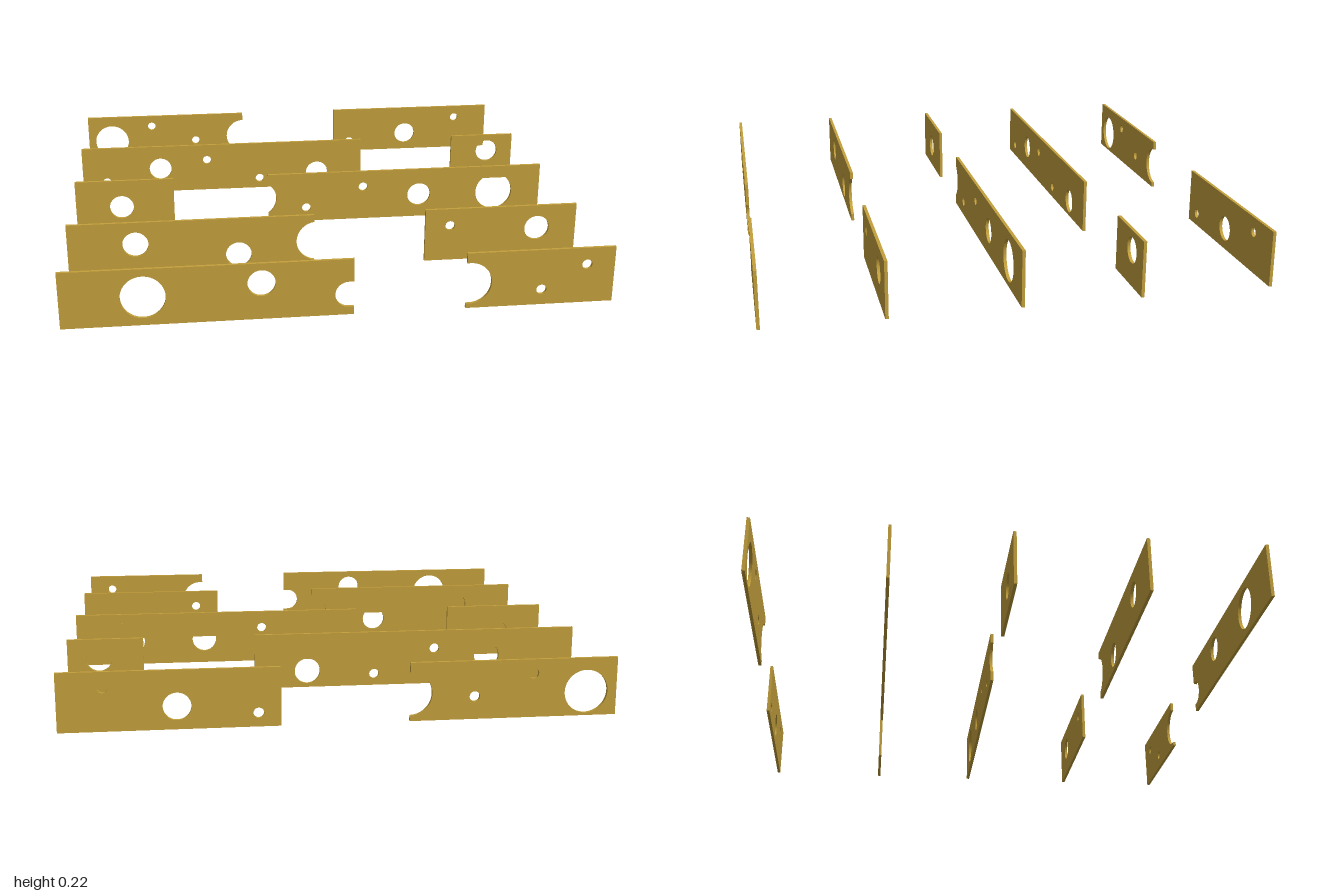
import * as THREE from 'three';
import { toCreasedNormals } from 'three/addons/utils/BufferGeometryUtils.js';

const H = 0.215; // plate height
const T = 0.012; // plate thickness
const S = 0.019, M = 0.05, L = 0.08; // hole radii: small, medium, large

// Trace a round notch into the right (side = 1) or left (side = -1) end
function traceNotch(shape, edge, side, [cx, cy, r]) {
  const d = (cx - edge) * side; // positive: centre lies beyond the end
  const k = d > 0 ? Math.sqrt(r * r - d * d) : r;
  const start = d > 0 ? Math.atan2(-side * k, edge - cx) : -side * Math.PI / 2;
  shape.lineTo(edge, cy - side * k);
  shape.absarc(cx, cy, r, start, -start, true);
  shape.lineTo(edge, cy + side * k);
}

function plateGeometry({ x0, x1, holes = [], left, right }) {
  const shape = new THREE.Shape();
  shape.moveTo(x0, 0);
  shape.lineTo(x1, 0);
  if (right) traceNotch(shape, x1, 1, right);
  shape.lineTo(x1, H);
  shape.lineTo(x0, H);
  if (left) traceNotch(shape, x0, -1, left);
  shape.closePath();
  for (const [x, y, r] of holes) {
    const hole = new THREE.Path();
    hole.absarc(x, y, r, 0, Math.PI * 2, true);
    shape.holes.push(hole);
  }
  const geo = new THREE.ExtrudeGeometry(shape, { depth: T, bevelEnabled: false, curveSegments: 32 });
  geo.translate(0, 0, -T / 2);
  return toCreasedNormals(geo, 0.6);
}

// Rows from back to front; holes and notches are [x, y, radius]
const rows = [
  { name: 'backRow', z: -0.934, plates: [
    { x0: -1, x1: -0.24, right: [-0.24, 0.1, L],
      holes: [[-0.887, 0.09, L], [-0.69, 0.163, S], [-0.475, 0.084, S]] },
    { x0: 0.22, x1: 1,
      holes: [[0.3, 0.05, S], [0.585, 0.083, M], [0.84, 0.158, S]] },
  ] },
  { name: 'secondRow', z: -0.438, plates: [
    { x0: -1, x1: 0.28,
      holes: [[-0.893, 0.053, S], [-0.648, 0.108, M], [-0.435, 0.143, S], [-0.193, 0.046, S], [0.073, 0.065, M]] },
    { x0: 0.71, x1: 1, holes: [[0.88, 0.138, M]] },
  ] },
  { name: 'middleRow', z: 0.008, plates: [
    { x0: -1, x1: -0.59, holes: [[-0.81, 0.097, M]] },
    { x0: -0.19, x1: 1, left: [-0.235, 0.107, L],
      holes: [[-0.026, 0.06, S], [0.22, 0.145, S], [0.465, 0.1, M], [0.797, 0.1, L]] },
  ] },
  { name: 'fourthRow', z: 0.494, plates: [
    { x0: -1, x1: -0.05, right: [-0.04, 0.107, L],
      holes: [[-0.742, 0.125, M], [-0.346, 0.065, M]] },
    { x0: 0.39, x1: 1, holes: [[0.49, 0.145, S], [0.842, 0.12, M]] },
  ] },
  { name: 'frontRow', z: 0.934, plates: [
    { x0: -1, x1: 0.04, right: [0.021, 0.079, 0.049],
      holes: [[-0.708, 0.107, L], [-0.291, 0.139, M]] },
    { x0: 0.45, x1: 1, left: [0.463, 0.097, L],
      holes: [[0.73, 0.059, S], [0.896, 0.15, S]] },
  ] },
];

export function createModel() {
  const model = new THREE.Group();
  model.name = 'perforatedPlates';
  const brass = new THREE.MeshStandardMaterial({ color: 0xc4a03c });
  for (const { name, z, plates } of rows) {
    const row = new THREE.Group();
    row.name = name;
    row.position.z = z;
    plates.forEach((plate, i) => {
      const mesh = new THREE.Mesh(plateGeometry(plate), brass);
      mesh.name = i === 0 ? 'rightPlate' : 'leftPlate';
      row.add(mesh);
    });
    model.add(row);
  }
  return model;
}
